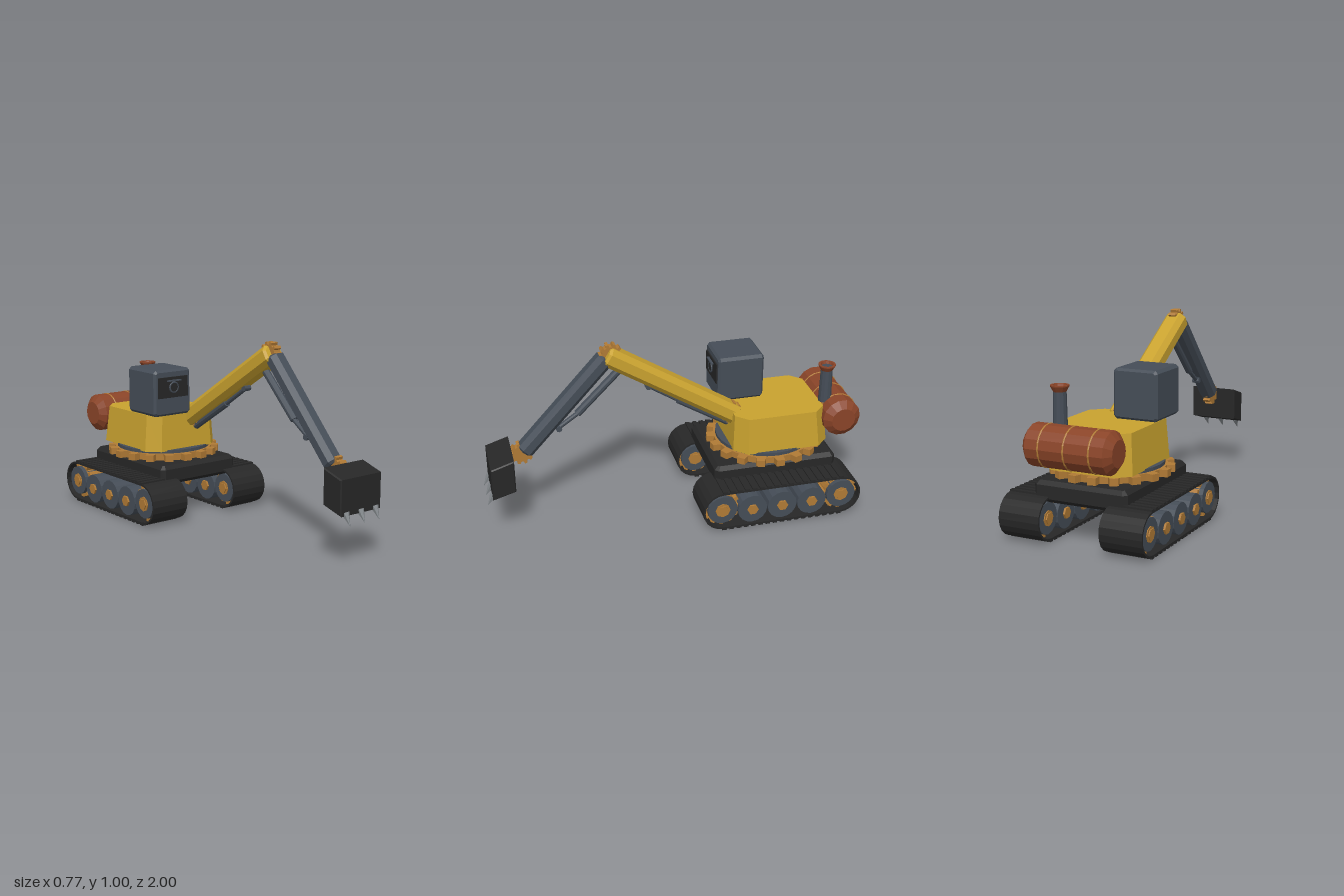
import * as THREE from 'three';

const mat = (name, color) => new THREE.MeshStandardMaterial({ name, color, flatShading: true });

export function createModel() {
  const model = new THREE.Group();
  model.name = 'excavator';
  const yellow = mat('yellow paint', 0xc9a22f), slate = mat('slate steel', 0x454d57);
  const dark = mat('dark iron', 0x272727), rust = mat('rust red', 0x8a4428);
  const bronze = mat('bronze', 0xb07a35), steel = mat('bare steel', 0x858a8e);

  const add = (name, geo, material, x = 0, y = 0, z = 0, parent = model) => {
    const m = new THREE.Mesh(geo, material);
    m.name = name;
    m.position.set(x, y, z);
    parent.add(m);
    return m;
  };
  const toShape = (pts) => new THREE.Shape(pts.map(([x, y]) => new THREE.Vector2(x, y)));
  const extrude = (shape, depth, bevel = 0) => {
    const g = new THREE.ExtrudeGeometry(shape, {
      depth: depth - 2 * bevel, bevelEnabled: bevel > 0, bevelSize: bevel,
      bevelThickness: bevel, bevelOffset: -bevel, bevelSegments: 1, steps: 1,
    });
    return g.translate(0, 0, bevel - depth / 2);
  };
  // Rectangle with cut corners
  const octagon = (w, h, c) => {
    const a = w / 2, b = h / 2;
    return toShape([[a, c - b], [a, b - c], [a - c, b], [c - a, b], [-a, b - c], [-a, c - b], [c - a, -b], [a - c, -b]]);
  };
  const alongX = (geo) => geo.rotateY(Math.PI / 2);
  const flat = (geo) => geo.rotateX(-Math.PI / 2);
  const discX = (r, width, sides) => new THREE.CylinderGeometry(r, r, width, sides).rotateZ(Math.PI / 2);
  // Toothed wheel outline
  const gear = (n, inner, outer) => {
    const pts = [], step = (Math.PI * 2) / n;
    for (let i = 0; i < n; i++) {
      for (const [f, r] of [[-0.28, inner], [-0.2, outer], [0.2, outer], [0.28, inner]]) {
        const a = (i + f) * step;
        pts.push([Math.cos(a) * r, Math.sin(a) * r]);
      }
    }
    return toShape(pts);
  };
  // Place geometry built along z between two (z, y) points
  const between = (mesh, [z0, y0], [z1, y1]) => {
    mesh.position.set(mesh.position.x, (y0 + y1) / 2, (z0 + z1) / 2);
    mesh.rotation.x = -Math.atan2(y1 - y0, z1 - z0);
  };
  const span = ([z0, y0], [z1, y1]) => Math.hypot(z1 - z0, y1 - y0);
  const beam = (name, material, a, b, w, h, c, x) =>
    between(add(name, extrude(octagon(w, h, c), span(a, b), 0.012), material, x), a, b);
  const rod = (name, material, a, b, r, x) =>
    between(add(name, new THREE.CylinderGeometry(r, r, span(a, b), 10).rotateX(Math.PI / 2), material, x), a, b);

  // Crawler tracks
  const axleY = 0.1175, reach = 0.325, width = 0.222;
  const stadium = (r) => {
    const pts = [];
    for (const side of [1, -1]) {
      for (let i = 0; i <= 10; i++) {
        const a = (i / 10 - 0.5) * Math.PI;
        pts.push([side * (reach + Math.cos(a) * r), side * Math.sin(a) * r]);
      }
    }
    return toShape(pts);
  };
  for (const side of [1, -1]) {
    const track = new THREE.Group();
    track.name = side > 0 ? 'leftTrack' : 'rightTrack';
    track.position.set(side * 0.272, 0, -0.522);
    model.add(track);
    const loop = stadium(0.11);
    loop.holes.push(stadium(0.1));
    add('belt', alongX(extrude(loop, width)), dark, 0, axleY, 0, track);
    for (let i = 0; i < 17; i++) {
      for (const up of [1, -1]) {
        add('trackPad', new THREE.BoxGeometry(width, 0.012, 0.024), dark, 0, axleY + up * 0.1115, (i - 8) * 0.04, track);
      }
    }
    for (let i = -2; i <= 2; i++) {
      const end = Math.abs(i) === 2, y = end ? axleY : 0.1, z = i * 0.164;
      add('roadWheel', discX(0.08, 0.196, 16), slate, 0, y, z, track);
      add('wheelHub', discX(0.03, 0.218, 6), bronze, 0, y, z, track);
      if (end) {
        add('sprocket', alongX(extrude(gear(12, 0.08, 0.1), 0.15)), bronze, 0, y, z, track);
        add('sprocketHub', discX(0.04, 0.206, 8), bronze, 0, y, z, track);
      }
    }
  }

  // Undercarriage and slewing ring
  add('undercarriage', flat(extrude(octagon(0.5, 0.67, 0.02), 0.106, 0.02)), dark, 0, 0.247, -0.522);
  add('slewGear', flat(extrude(gear(18, 0.272, 0.31), 0.036)), bronze, 0, 0.32, -0.525);
  add('turntable', new THREE.CylinderGeometry(0.26, 0.26, 0.055, 28), slate, 0, 0.328, -0.525);

  // Tapered body
  const body = flat(extrude(octagon(0.47, 0.52, 0.065), 0.2));
  const p = body.attributes.position;
  for (let i = 0; i < p.count; i++) {
    if (p.getY(i) > 0) p.setXYZ(i, p.getX(i) * 0.93, p.getY(i), p.getZ(i) * 0.94 + 0.008);
  }
  body.computeVertexNormals();
  add('body', body, yellow, 0, 0.45, -0.565);

  // Cab with front panel and hooded lamp
  const cabX = -0.12, cabFront = -0.267;
  add('cab', extrude(octagon(0.24, 0.25, 0.015), 0.25, 0.012), slate, cabX, 0.68, cabFront - 0.125);
  add('frontPanel', new THREE.BoxGeometry(0.193, 0.112, 0.008), dark, cabX - 0.001, 0.71, cabFront + 0.003);
  add('lampRing', new THREE.TorusGeometry(0.027, 0.005, 6, 16), slate, cabX, 0.71, cabFront + 0.011);
  add('lampLens', new THREE.CylinderGeometry(0.025, 0.025, 0.012, 12).rotateX(Math.PI / 2), dark, cabX, 0.71, cabFront + 0.008);
  add('lampHood', new THREE.BoxGeometry(0.085, 0.007, 0.016), slate, cabX, 0.747, cabFront + 0.012);

  // Boiler with hoops
  const profile = [[0, -0.236], [0.065, -0.236], [0.104, -0.205], [0.104, 0.205], [0.065, 0.236], [0, 0.236]];
  const boiler = new THREE.LatheGeometry(profile.map(([r, y]) => new THREE.Vector2(r, y)), 14).rotateZ(Math.PI / 2);
  add('boiler', boiler, rust, 0, 0.488, -0.892);
  for (const x of [-0.133, 0, 0.133]) {
    add('boilerHoop', alongX(new THREE.TorusGeometry(0.102, 0.005, 6, 20)), bronze, x, 0.488, -0.892);
  }

  // Chimney
  add('chimney', new THREE.CylinderGeometry(0.031, 0.035, 0.2, 12), slate, 0.108, 0.653, -0.828);
  const rim = [[0.031, -0.018], [0.046, 0.008], [0.046, 0.014], [0.034, 0.014], [0.028, -0.004]];
  add('chimneyRim', new THREE.LatheGeometry(rim.map(([r, y]) => new THREE.Vector2(r, y)), 14), rust, 0.108, 0.752, -0.828);

  // Digging arm
  const armX = 0.063, foot = [-0.315, 0.53], elbow = [0.322, 0.94], wrist = [0.797, 0.44];
  beam('boom', yellow, [-0.345, 0.512], [0.345, 0.942], 0.117, 0.102, 0.026, armX);
  beam('stick', slate, [0.345, 0.925], [0.785, 0.447], 0.094, 0.088, 0.024, armX);
  for (const [name, [z, y]] of [['footGear', foot], ['elbowGear', elbow], ['wristGear', wrist]]) {
    add(name, alongX(extrude(gear(10, 0.046, 0.06), 0.042)), bronze, armX, y, z);
  }

  // Hydraulic rams
  rod('boomRamCylinder', slate, [-0.3, 0.47], [-0.03, 0.635], 0.02, armX);
  rod('boomRamRod', slate, [-0.03, 0.635], [0.14, 0.745], 0.012, armX);
  rod('stickRamCylinder', slate, [0.28, 0.845], [0.5, 0.625], 0.02, armX);
  rod('stickRamRod', slate, [0.5, 0.625], [0.61, 0.55], 0.012, armX);
  add('stickRamPin', discX(0.016, 0.04, 8), slate, armX, 0.555, 0.6);
  add('boomRamPin', discX(0.016, 0.04, 8), slate, armX, 0.737, 0.13);

  // Bucket, its bracket and teeth
  const side = [[0.85, 0.468], [0.97, 0.43], [0.97, 0.253], [0.85, 0.288]];
  add('bucket', alongX(extrude(toShape(side.map(([z, y]) => [-z, y])), 0.27, 0.006)), dark, armX);
  add('bucketBracket', new THREE.BoxGeometry(0.042, 0.045, 0.06), bronze, armX, 0.425, 0.83);
  for (const dx of [-0.097, 0, 0.097]) {
    const tooth = add('bucketTooth', new THREE.ConeGeometry(0.02, 0.07, 6), steel, armX + dx, 0.237, 0.981);
    tooth.rotation.x = Math.PI - 0.52;
  }
  return model;
}
